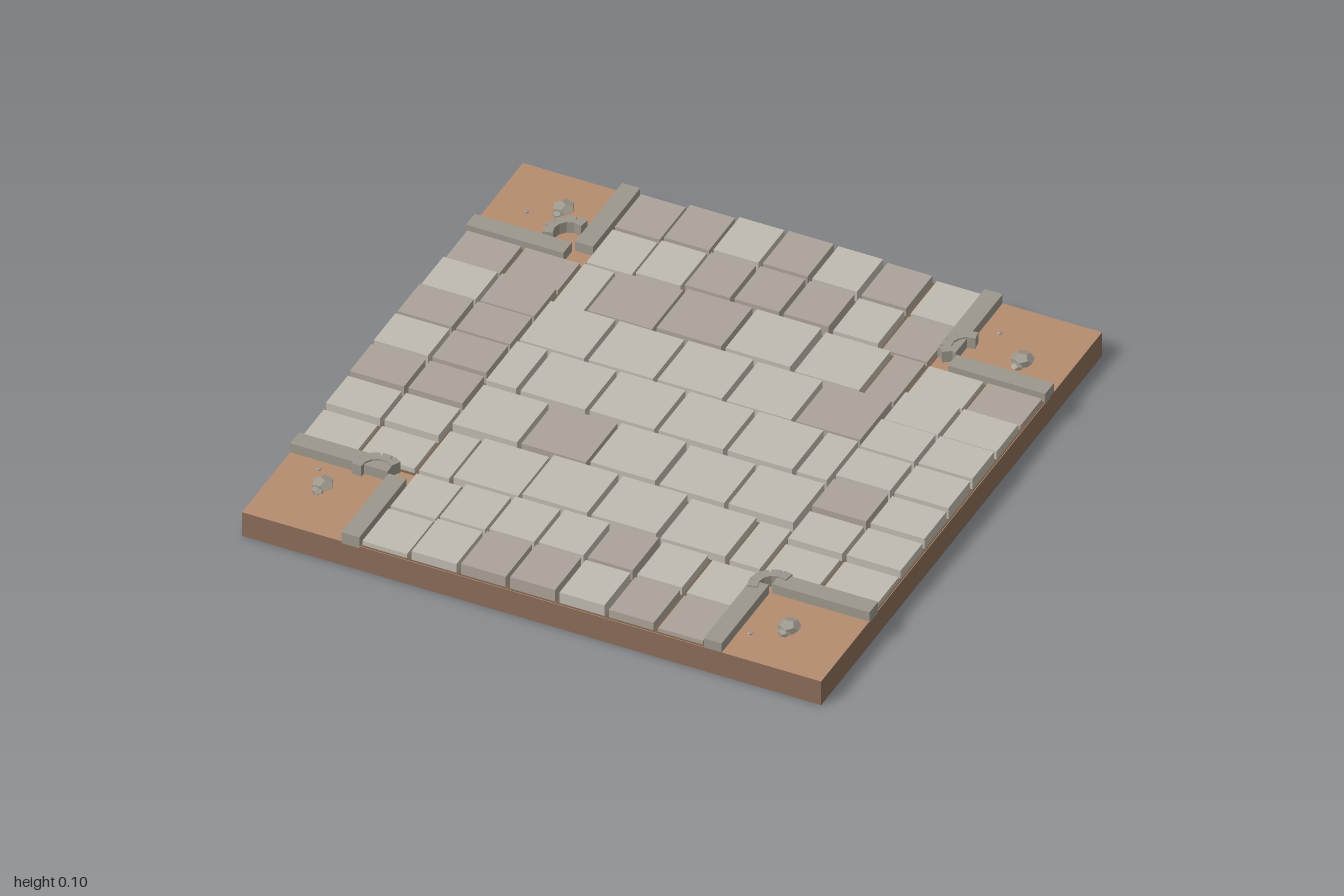
import * as THREE from 'three';

const H = 0.708;        // half side of the slab
const R = 0.422;        // half width of the roads
const TURN = 0.7355;    // turn of the whole tile about y

const mat = (color) => new THREE.MeshStandardMaterial({ color, flatShading: true });

function seeded(seed) {
  let s = seed;
  return () => (s = (s * 16807) % 2147483647) / 2147483647;
}

export function createModel() {
  const root = new THREE.Group();
  root.name = 'crossroadTile';
  const rand = seeded(4127);

  const earth = mat(0x8a6c58), dirt = mat(0xb58c6e), bedding = mat(0x75604f);
  const paleStone = mat(0xc0bbb0), darkStone = mat(0xaca398), kerbStone = mat(0x9c978b);
  const underside = mat(0x594839);

  const ground = new THREE.Group();
  ground.name = 'ground';
  ground.rotation.y = TURN;
  root.add(ground);

  // Box given by its centre in plan, its size and its bottom and top heights
  function block(parent, name, material, x, z, w, d, y0, y1) {
    const mesh = new THREE.Mesh(new THREE.BoxGeometry(w, y1 - y0, d), material);
    mesh.position.set(x, (y0 + y1) / 2, z);
    mesh.name = name;
    parent.add(mesh);
    return mesh;
  }

  // Slab: earth sides, dirt top, dark underside
  block(ground, 'slab', [earth, earth, dirt, underside, earth, earth], 0, 0, 2 * H, 2 * H, 0, 0.065);

  // Bedding that shows in the joints between the stones
  block(ground, 'beddingAlong', bedding, 0, 0, 2 * H - 0.004, 2 * R, 0.06, 0.0665);
  block(ground, 'beddingAcross', bedding, 0, 0, 2 * R, 2 * H - 0.004, 0.06, 0.0668);

  // Paving stone, its top following the camber of the road
  const camber = (t) => 0.071 + 0.026 * (1 - (t / R) ** 2);
  function stone(parent, x, z, w, d, t) {
    const top = camber(t) + (rand() - 0.5) * 0.003;
    block(parent, 'pavingStone', rand() < 0.3 ? darkStone : paleStone,
      x, z, w - 0.011, d - 0.011, 0.055, top);
  }

  // Centre: five columns of large stones, alternate columns shifted by half a stone
  const centre = new THREE.Group();
  centre.name = 'crossingPaving';
  ground.add(centre);
  const big = (2 * R) / 5;
  for (let c = 0; c < 5; c++) {
    const x = (c - 2) * big;
    const cuts = [-R];
    for (let k = 1; k < 6; k++) cuts.push(-R + (k - (c % 2 ? 0 : 0.5)) * big);
    if (c % 2 === 0) cuts.push(R);
    for (let k = 0; k + 1 < cuts.length; k++) {
      const z = (cuts[k] + cuts[k + 1]) / 2;
      stone(centre, x, z, big, cuts[k + 1] - cuts[k], Math.min(Math.abs(x), Math.abs(z)));
    }
  }

  // Four road arms, each two rows of seven small stones
  const depth = (H - R) / 2, small = (2 * R) / 7;
  for (let a = 0; a < 4; a++) {
    const arm = new THREE.Group();
    arm.name = 'roadArmPaving';
    arm.rotation.y = a * Math.PI / 2;
    ground.add(arm);
    for (let row = 0; row < 2; row++) {
      for (let i = 0; i < 7; i++) {
        const x = (i - 3) * small;
        stone(arm, x, R + (row + 0.5) * depth, small, depth, x);
      }
    }
  }

  // Kerbs along both road sides of each dirt corner
  for (let a = 0; a < 4; a++) {
    const corner = new THREE.Group();
    corner.name = 'cornerKerbs';
    corner.rotation.y = a * Math.PI / 2;
    ground.add(corner);
    const start = 0.47, mid = (start + H) / 2, len = H - start;
    block(corner, 'kerb', kerbStone, 0.443, mid, 0.044, len, 0.06, 0.09);
    block(corner, 'kerb', kerbStone, mid, 0.443, len, 0.044, 0.06, 0.09);
  }

  // Rounded kerb of five small blocks on an arc
  function kerbArc(x, z, turn) {
    const arc = new THREE.Group();
    arc.name = 'kerbArc';
    arc.position.set(x, 0, z);
    arc.rotation.y = turn;
    root.add(arc);
    for (let i = -2; i <= 2; i++) {
      const a = i * 0.5;
      const piece = block(arc, 'arcBlock', kerbStone,
        0.045 * Math.sin(a), -0.045 * Math.cos(a), 0.022, 0.024, 0.06, 0.094);
      piece.rotation.y = -a;
    }
  }
  kerbArc(0.035, -0.695, 0);
  kerbArc(-0.03, 0.67, 0);
  kerbArc(0.69, 0.022, 0.35);
  kerbArc(-0.68, -0.052, -0.35);

  // Loose rocks and pebbles on the dirt corners: x, z, radius
  function rock(name, x, z, r) {
    const mesh = new THREE.Mesh(new THREE.DodecahedronGeometry(r, 0), kerbStone);
    mesh.name = name;
    mesh.scale.y = 0.55;
    mesh.position.set(x, 0.065 + r * 0.3, z);
    mesh.rotation.y = rand() * 6;
    root.add(mesh);
  }
  for (const [x, z] of [[0.068, -0.805], [0.797, 0.085], [-0.043, 0.795], [-0.8, -0.07]]) {
    rock('rock', x, z, 0.027);
    rock('smallRock', x - 0.018, z + 0.014, 0.015);
  }
  for (const [x, z] of [[-0.01, -0.83], [0.79, -0.03], [-0.13, 0.78], [-0.785, -0.13]]) {
    rock('pebble', x, z, 0.006);
  }

  return root;
}
